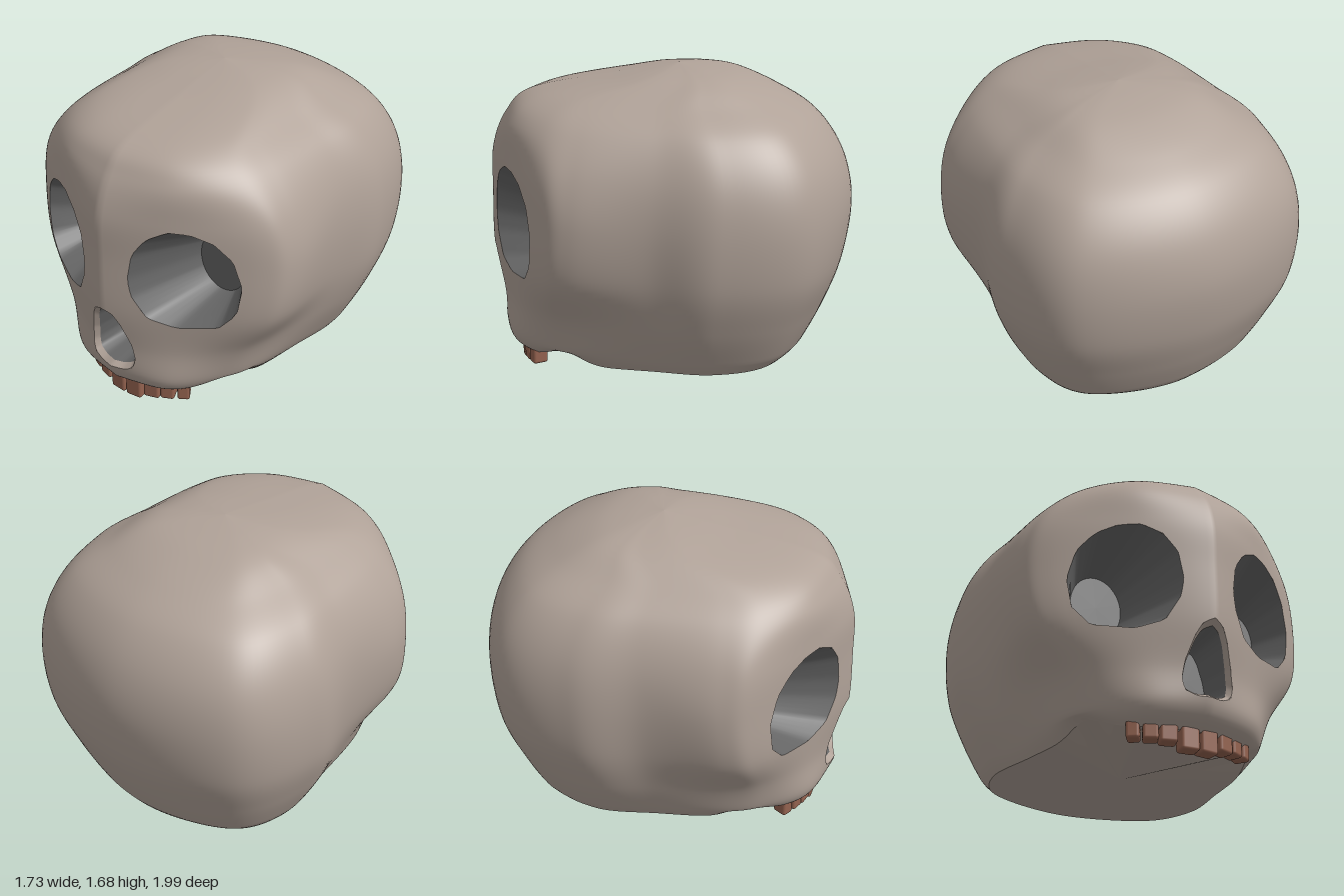
import * as THREE from 'three';
import { RoundedBoxGeometry } from 'three/addons/geometries/RoundedBoxGeometry.js';

const mat = (color) => new THREE.MeshStandardMaterial({ color, side: THREE.DoubleSide, roughness: 0.9 });

// Half outlines [x, z] from front centre round the left side to back centre, by height
const levels = [
  { y: 0.12, p: [[0, 0.82], [0.25, 0.76], [0.42, 0.60], [0.50, 0.45], [0.57, 0.05], [0.61, -0.3], [0.46, -0.58], [0, -0.72]] },
  { y: 0.20, p: [[0, 0.92], [0.30, 0.83], [0.48, 0.62], [0.57, 0.42], [0.62, 0.05], [0.66, -0.3], [0.50, -0.63], [0, -0.77]] },
  { y: 0.40, p: [[0, 0.95], [0.32, 0.82], [0.54, 0.64], [0.64, 0.45], [0.71, 0.05], [0.76, -0.3], [0.58, -0.70], [0, -0.87]] },
  { y: 0.65, p: [[0, 0.99], [0.35, 0.83], [0.69, 0.62], [0.79, 0.44], [0.79, 0.03], [0.84, -0.33], [0.64, -0.78], [0, -0.96]] },
  { y: 0.95, p: [[0, 0.99], [0.35, 0.84], [0.73, 0.60], [0.83, 0.41], [0.82, 0.02], [0.855, -0.35], [0.66, -0.80], [0, -1.0]] },
  { y: 1.20, p: [[0, 0.98], [0.35, 0.84], [0.70, 0.60], [0.78, 0.40], [0.79, 0.0], [0.81, -0.35], [0.62, -0.77], [0, -0.95]] },
  { y: 1.40, p: [[0, 0.90], [0.35, 0.80], [0.58, 0.60], [0.66, 0.38], [0.69, 0.0], [0.70, -0.3], [0.54, -0.66], [0, -0.82]] },
];
// Crown: the last outline shrunk to [y, half width, front z, back z]
const brow = levels[levels.length - 1].p;
for (const [y, w, f, b] of [[1.53, 0.53, 0.75, -0.63], [1.62, 0.38, 0.3, -0.42], [1.66, 0.22, 0.08, -0.24], [1.68, 0, -0.05, -0.05]]) {
  levels.push({ y, p: brow.map(([x, z]) => [x * w / 0.7, (f + b) / 2 + (z - 0.04) * (f - b) / 1.72]) });
}
const TOP = levels.length - 1;

const spline = (a, b, c, d, t) =>
  b + 0.5 * t * (c - a + t * (2 * a - 5 * b + 4 * c - d + t * (3 * (b - c) + d - a)));

// Outline point at u in 0..7, with a slight ridge down the front
function outline(p, u) {
  const i = Math.min(6, Math.floor(u));
  const at = (k) => k < 0 ? [-p[1][0], p[0][1] + 0.17 * p[1][0]] : k > 7 ? [-p[6][0], p[6][1]] : p[k];
  return [0, 1].map((c) => spline(at(i - 1)[c], at(i)[c], at(i + 1)[c], at(i + 2)[c], u - i));
}
const levelAt = (k) => levels[Math.max(0, Math.min(TOP, k))];
function alongHeight(v, read) {
  const j = Math.min(TOP - 1, Math.floor(v));
  return spline(...[-1, 0, 1, 2].map((o) => read(levelAt(j + o))), v - j);
}
function surface(u, v) {
  const x = alongHeight(v, (l) => outline(l.p, u)[0]);
  const z = alongHeight(v, (l) => outline(l.p, u)[1]);
  let y = alongHeight(v, (l) => l.y);
  // Lower rim: tilted down to the front, notched under the cheeks
  const w = Math.max(0, 1 - (y - 0.12) / 0.08);
  y += w * (-0.025 * z + 0.07 * Math.exp(-(((z - 0.52) / 0.13) ** 2)));
  return new THREE.Vector3(x, y, z);
}
function bisect(f, target, hi) {
  let lo = 0;
  for (let k = 0; k < 24; k++) {
    const m = (lo + hi) / 2;
    if (f(m) < target) lo = m; else hi = m;
  }
  return lo;
}
// Point of the face surface lying at x, y
function onFace(x, y) {
  const v = bisect((t) => alongHeight(t, (l) => l.y), y, TOP);
  const u = bisect((t) => surface(t, v).x, Math.abs(x), 3);
  return new THREE.Vector3(x, y, surface(u, v).z);
}

// An opening is a star-shaped polygon; rim(a) is its edge in direction a
function opening(cx, cy, pts) {
  const rim = (a) => {
    const dx = Math.cos(a), dy = Math.sin(a);
    let best = 0;
    pts.forEach(([px, py], i) => {
      const [qx, qy] = pts[(i + 1) % pts.length];
      const ex = qx - px, ey = qy - py, den = dx * ey - dy * ex;
      if (Math.abs(den) < 1e-9) return;
      const r = ((px - cx) * ey - (py - cy) * ex) / den;
      const s = ((px - cx) * dy - (py - cy) * dx) / den;
      if (r > 0 && s > -1e-6 && s < 1 + 1e-6) best = Math.max(best, r);
    });
    return [cx + dx * best, cy + dy * best, best];
  };
  return { cx, cy, rim };
}
const eyePts = [[0.34, 1.165], [0.44, 1.16], [0.54, 1.115], [0.62, 1.02], [0.66, 0.86], [0.635, 0.7], [0.55, 0.605],
  [0.36, 0.585], [0.23, 0.63], [0.16, 0.76], [0.145, 0.86], [0.17, 1.01], [0.24, 1.11]];
const eyes = [1, -1].map((s) => opening(0.405 * s, 0.87, eyePts.map(([x, y]) => [x * s, y])));
const nosePts = [[0, 0.65], [0.055, 0.625], [0.09, 0.56], [0.13, 0.43], [0.145, 0.33], [0.13, 0.27], [0.07, 0.245]];
const nose = opening(0, 0.42, [...nosePts, ...nosePts.slice(1).reverse().map(([x, y]) => [-x, y])]);

function buildSkin() {
  const HALF = 84, N = HALF * 2, ROWS = TOP * 8;
  const verts = [], owner = [], index = [];
  for (let j = 0; j <= ROWS; j++) {
    for (let i = 0; i < N; i++) {
      const side = i <= HALF ? 1 : -1;
      const q = surface((side > 0 ? i : N - i) * 7 / HALF, j / 8);
      q.x *= side;
      verts.push(q);
      owner.push(q.z > 0 && [...eyes, nose].find((h) =>
        Math.hypot(q.x - h.cx, q.y - h.cy) < h.rim(Math.atan2(q.y - h.cy, q.x - h.cx))[2]));
    }
  }
  // Leave out faces within an opening, pull the bordering vertices out to its edge
  const snap = new Set();
  const face = (...t) => {
    if (t.every((k) => owner[k])) return;
    t.forEach((k) => owner[k] && snap.add(k));
    index.push(...t);
  };
  for (let j = 0; j < ROWS; j++) for (let i = 0; i < N; i++) {
    const a = j * N + i, b = j * N + (i + 1) % N;
    face(a, b, b + N);
    face(a, b + N, a + N);
  }
  snap.forEach((k) => {
    const h = owner[k], q = verts[k];
    const [x, y] = h.rim(Math.atan2(q.y - h.cy, q.x - h.cx));
    q.copy(onFace(x, y));
  });
  const skin = new THREE.BufferGeometry().setFromPoints(verts);
  skin.setIndex(index);
  skin.computeVertexNormals();
  // Underside fan
  const base = new THREE.BufferGeometry().setFromPoints([...verts.slice(0, N), new THREE.Vector3(0, 0.12, 0)]);
  base.setIndex(Array.from({ length: N }, (_, i) => [N, (i + 1) % N, i]).flat());
  base.computeVertexNormals();
  return [skin, base];
}

// Walls through a series of equal loops
function loft(loops) {
  const n = loops[0].length, index = [];
  for (let j = 0; j < loops.length - 1; j++) for (let i = 0; i < n; i++) {
    const a = j * n + i, b = j * n + (i + 1) % n;
    index.push(a, b, b + n, a, b + n, a + n);
  }
  const g = new THREE.BufferGeometry().setFromPoints(loops.flat());
  g.setIndex(index);
  g.computeVertexNormals();
  return g;
}
function disc(loop) {
  const n = loop.length;
  const c = loop.reduce((s, q) => s.add(q), new THREE.Vector3()).divideScalar(n);
  const g = new THREE.BufferGeometry().setFromPoints([...loop, c]);
  g.setIndex(Array.from({ length: n }, (_, i) => [n, i, (i + 1) % n]).flat());
  g.computeVertexNormals();
  return g;
}

export function createModel() {
  const model = new THREE.Group();
  const bone = mat(0xb0a298), hollow = mat(0x666666), enamel = mat(0x93624f);
  const add = (name, geometry, material) => {
    const m = new THREE.Mesh(geometry, material);
    m.name = name;
    model.add(m);
    return m;
  };
  const [skin, base] = buildSkin();
  add('cranium', skin, bone);
  add('underside', base, bone);

  const angles = Array.from({ length: 60 }, (_, i) => i / 60 * Math.PI * 2);
  const rimLoop = (h) => angles.map((a) => onFace(...h.rim(a).slice(0, 2)));

  // Eye sockets taper to a small oval at the back
  eyes.forEach((h, k) => {
    const side = k ? 'right' : 'left';
    const back = angles.map((a) => new THREE.Vector3(h.cx + 0.145 * Math.cos(a), 0.835 + 0.17 * Math.sin(a), 0.48));
    add(side + 'EyeSocket', loft([rimLoop(h), back]), hollow);
    add(side + 'EyeSocketBack', disc(back), hollow);
  });

  // Nose: bone bevel, then a shallow hollow
  const shrink = (s, z) => (q) => new THREE.Vector3(q.x * s, 0.42 + (q.y - 0.42) * s, z(q));
  const edge = rimLoop(nose);
  const inner = edge.map(shrink(0.87, (q) => q.z - 0.03));
  const noseBack = edge.map(shrink(0.72, () => 0.7));
  add('noseRim', loft([edge, inner]), bone);
  add('noseHollow', loft([inner, noseBack]), hollow);
  add('noseBack', disc(noseBack), hollow);

  // Upper teeth: [x, z, width, bottom, turn]
  for (const [x, z, w, y, turn] of [[0.051, 0.785, 0.098, 0, 0.1], [0.152, 0.765, 0.09, 0.03, 0.3],
    [0.232, 0.735, 0.078, 0.04, 0.45], [0.305, 0.695, 0.068, 0.045, 0.6]]) {
    for (const s of [1, -1]) {
      const tooth = add('tooth', new RoundedBoxGeometry(w, 0.16 - y, 0.085, 2, 0.015), enamel);
      tooth.position.set(x * s, (0.16 + y) / 2, z);
      tooth.rotation.y = turn * s;
    }
  }
  return model;
}
